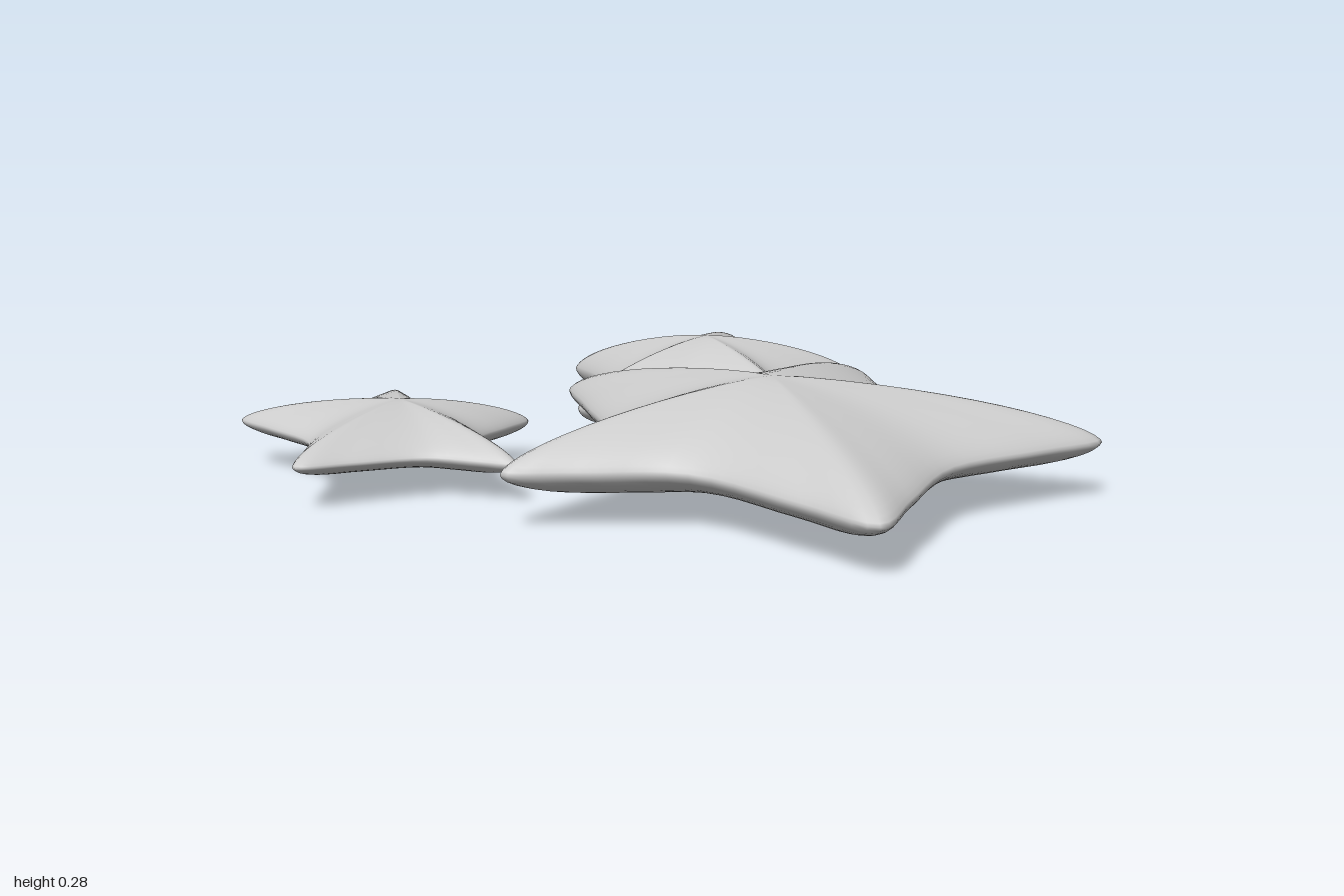
import * as THREE from 'three';
import { mergeVertices } from 'three/addons/utils/BufferGeometryUtils.js';

const material = new THREE.MeshStandardMaterial({ color: 0xcccccc });

// Outline seen from above: arm tips and the notches between them, joined by nearly straight flanks.
function starOutline(tips, notches, heightAt) {
  const point = ([x, z]) => new THREE.Vector3(x, heightAt(x, z), z);
  const points = tips.flatMap((tipXZ, i) => {
    const tip = point(tipXZ), notch = point(notches[i]), next = point(tips[(i + 1) % tips.length]);
    return [tip, tip.clone().lerp(notch, 0.4), notch, notch.clone().lerp(next, 0.6)];
  });
  return new THREE.CatmullRomCurve3(points, true, 'centripetal');
}

// A sphere whose equator is pulled out to the star outline, with a ridged top and a flatter belly.
function starfish(name, { centre: [cx, cz], y, tiltX, tiltZ, rise, drop, tips, notches }) {
  const edge = starOutline(tips, notches, (x, z) => y + tiltX * (x - cx) + tiltZ * (z - cz));
  const around = 100, down = 28;
  const geometry = new THREE.SphereGeometry(1, around, down);
  const position = geometry.attributes.position;
  const p = new THREE.Vector3();
  for (let i = 0; i < position.count; i++) {
    const row = Math.floor(i / (around + 1)), col = i % (around + 1);
    const s = row === down ? 0 : Math.sin((row / down) * Math.PI);
    const height = row <= down / 2
      ? rise * (1 - s ** 1.4) ** 0.65
      : -drop * (1 - s ** 2.4) ** 0.55;
    edge.getPoint(1 - (col % around) / around, p);
    position.setXYZ(i, cx + (p.x - cx) * s, y + (p.y - y) * s + height, cz + (p.z - cz) * s);
  }
  // Weld the seam so the shading is smooth all round
  geometry.deleteAttribute('uv');
  geometry.deleteAttribute('normal');
  const welded = mergeVertices(geometry, 1e-5);
  welded.computeVertexNormals();
  const mesh = new THREE.Mesh(welded, material);
  mesh.name = name;
  return mesh;
}

export function createModel() {
  const group = new THREE.Group();
  group.name = 'starfishGroup';

  group.add(starfish('largeStarfish', {
    centre: [0.27, 0.31], y: 0.135, tiltX: -0.01, tiltZ: -0.03, rise: 0.145, drop: 0.085,
    tips: [[0.43, -0.3], [1, 0.21], [0.545, 0.92], [-0.26, 0.69], [-0.26, -0.075]],
    notches: [[0.6, 0.08], [0.68, 0.49], [0.13, 0.64], [-0.1, 0.35], [0.09, 0.01]],
  }));

  group.add(starfish('backStarfish', {
    centre: [0.02, -0.46], y: 0.085, tiltX: 0.02, tiltZ: 0, rise: 0.135, drop: 0.083,
    tips: [[0.06, -0.925], [0.4, -0.6], [0.29, -0.115], [-0.26, -0.16], [-0.37, -0.69]],
    notches: [[0.16, -0.65], [0.24, -0.37], [0.01, -0.215], [-0.21, -0.42], [-0.12, -0.71]],
  }));

  group.add(starfish('smallStarfish', {
    centre: [-0.6, 0.25], y: 0.1, tiltX: -0.03, tiltZ: 0, rise: 0.085, drop: 0.048,
    tips: [[-0.725, -0.115], [-0.345, 0.035], [-0.275, 0.465], [-0.735, 0.61], [-1, 0.21]],
    notches: [[-0.575, 0.06], [-0.41, 0.24], [-0.48, 0.46], [-0.78, 0.385], [-0.785, 0.08]],
  }));

  return group;
}
